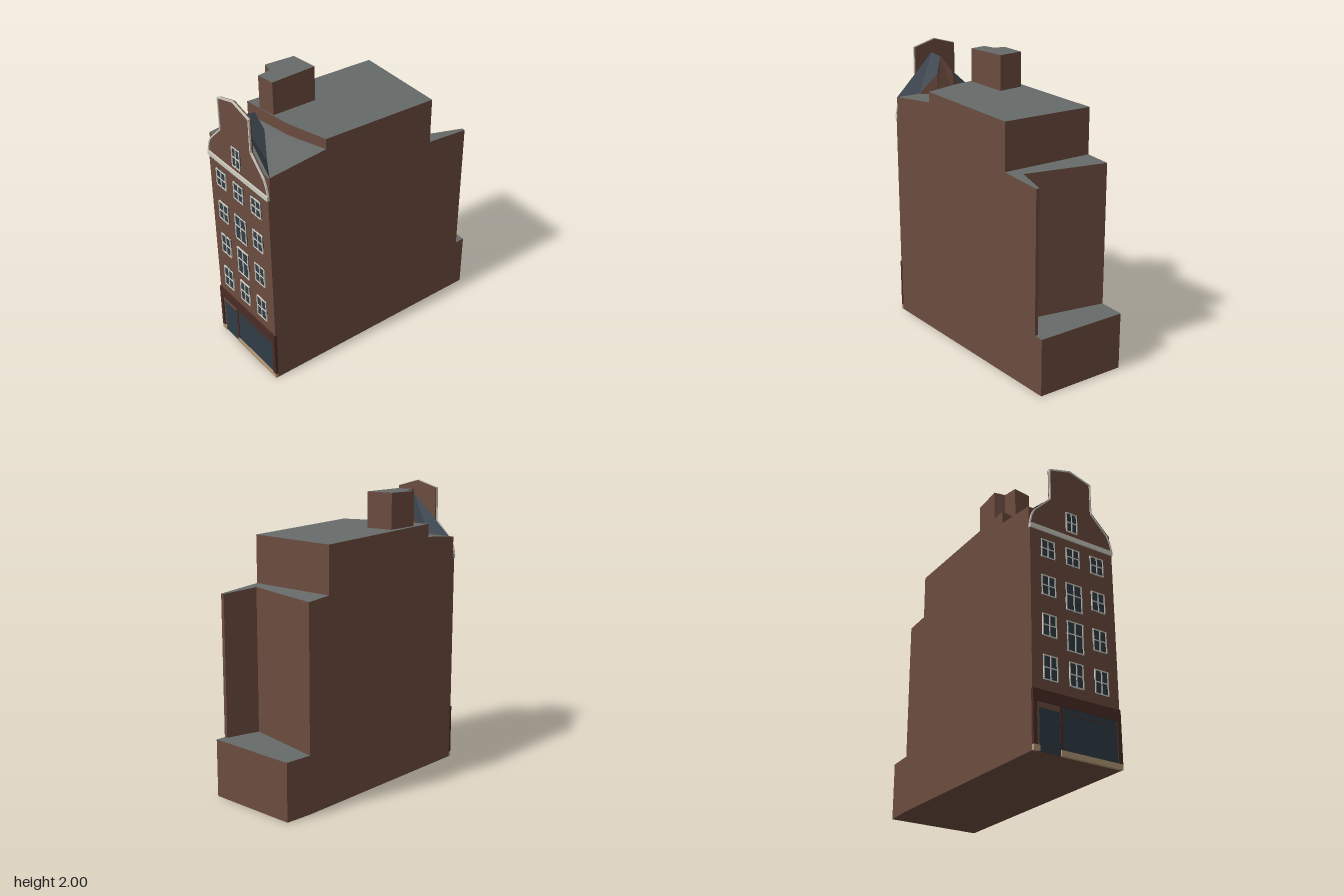
import * as THREE from 'three';

const mat = (color, side = THREE.FrontSide) =>
  new THREE.MeshStandardMaterial({ color, side, flatShading: true });
const brick = mat(0x6b4c3f);
const brickThin = mat(0x6b4c3f, THREE.DoubleSide);
const roofGrey = mat(0x666a68);
const slate = mat(0x424a55, THREE.DoubleSide);
const glass = mat(0x2f3c46);
const white = mat(0xcfccc0);
const shopWood = mat(0x4a2c24);
const stone = mat(0xb59a78);

const FRONT = 0.83; // face of the facade slab

export function createModel() {
  const model = new THREE.Group();

  const add = (name, geometry, material, parent = model) => {
    const mesh = new THREE.Mesh(geometry, material);
    mesh.name = name;
    parent.add(mesh);
    return mesh;
  };

  // Box given by its limits
  const box = (name, x0, x1, y0, y1, z0, z1, material, parent) => {
    const g = new THREE.BoxGeometry(x1 - x0, y1 - y0, z1 - z0);
    g.translate((x0 + x1) / 2, (y0 + y1) / 2, (z0 + z1) / 2);
    return add(name, g, material, parent);
  };

  // Upright block on a plan of [x, z] corners, its top following roofY(x, z)
  const block = (name, plan, y0, roofY, top = roofGrey) => {
    const shape = new THREE.Shape(plan.map(([x, z]) => new THREE.Vector2(x, -z)));
    const g = new THREE.ExtrudeGeometry(shape, { depth: 1, bevelEnabled: false });
    g.rotateX(-Math.PI / 2);
    const p = g.attributes.position;
    for (let i = 0; i < p.count; i++) {
      p.setY(i, p.getY(i) > 0.5 ? roofY(p.getX(i), p.getZ(i)) : y0);
    }
    g.computeVertexNormals();
    return add(name, g, [top, brick]);
  };

  // Flat polygon as a fan
  const polygon = (name, points, material) => {
    const pos = [];
    for (let i = 1; i < points.length - 1; i++) pos.push(...points[0], ...points[i], ...points[i + 1]);
    const g = new THREE.BufferGeometry();
    g.setAttribute('position', new THREE.Float32BufferAttribute(pos, 3));
    g.computeVertexNormals();
    return add(name, g, material);
  };

  // Main volumes: stepped down towards the back
  const step = [[0.32, 0.4], [0.04, 0.48], [-0.1, 0.497], [-0.335, 0.525]];
  const backLine = [[-0.335, -0.47], [0.33, -0.447]];
  const footprint = [[-0.335, 0.815], [0.315, 0.815], [0.32, 0.4], [0.33, -0.447],
    [0.335, -0.83], [-0.32, -0.84], [-0.335, -0.65]];
  block('floor', footprint, 0, () => 0.004, brick);
  block('groundStorey', footprint, 0.004, () => 0.392);
  block('frontVolume', [[-0.335, 0.815], [0.315, 0.815], ...step], 0.392,
    (x, z) => 1.66 - 0.095 * (z - 0.4));
  block('tallVolume', [...step, ...backLine], 0.392, (x, z) => 1.717 + 0.037 * z);
  block('rearVolume', [...backLine, [0.334, -0.76], [0.31, -0.76], [0.25, -0.53], [-0.335, -0.65]],
    0.392, (x, z) => 1.383 + 0.087 * (z + 0.447) - 0.01 * x);

  // Roof box with a notched corner
  block('chimneyBlock', [[-0.29, 0.185], [-0.1, 0.165], [-0.095, 0.49], [-0.22, 0.508],
    [-0.235, 0.41], [-0.31, 0.395]], 1.62, () => 1.965);

  // Small pitched roof behind the gable
  const ridgeFront = [0.02, 1.905, 0.812], ridgeBack = [0.02, 1.89, 0.7];
  const hips = [
    { side: 'left', peak: [0.07, 1.78, 0.67], eave: [0.18, 1.64, 0.735], corner: [0.315, 1.62, 0.812] },
    { side: 'right', peak: [-0.05, 1.78, 0.655], eave: [-0.175, 1.64, 0.735], corner: [-0.3, 1.62, 0.812] },
  ];
  for (const { side, peak, eave, corner } of hips) {
    polygon(side + 'AtticSlope', [ridgeFront, ridgeBack, peak, eave, corner], slate);
    polygon(side + 'AtticWall', [peak, eave, [peak[0], 1.63, peak[2]]], brickThin);
  }
  const [a, b] = hips.map((h) => h.peak);
  polygon('atticBackWall', [ridgeBack, a, [a[0], 1.63, a[2]], [b[0], 1.63, b[2]], b], brickThin);

  // Facade slab with the curved neck gable
  const half = [[0.325, 1.5], [0.312, 1.555], [0.29, 1.6], [0.255, 1.635], [0.164, 1.725], [0.164, 1.95]];
  const cx = -0.01;
  const outline = [
    ...half.map(([x, y]) => new THREE.Vector2(cx + x, y)),
    new THREE.Vector2(cx, 1.995),
    ...half.map(([x, y]) => new THREE.Vector2(cx - x, y)).reverse(),
  ];
  const facade = new THREE.Shape([
    new THREE.Vector2(-0.335, 0), new THREE.Vector2(0.315, 0), ...outline]);
  const slab = new THREE.ExtrudeGeometry(facade, { depth: FRONT - 0.812, bevelEnabled: false });
  slab.translate(0, 0, 0.812);
  add('facade', slab, brick);

  // White edging along the gable and the cornice below it
  const edging = new THREE.Group();
  edging.name = 'gableEdging';
  model.add(edging);
  for (let i = 0; i < outline.length - 1; i++) {
    const p = outline[i], q = outline[i + 1];
    const strip = add('edgingStrip', new THREE.BoxGeometry(p.distanceTo(q) + 0.005, 0.009, 0.012), white, edging);
    strip.position.set((p.x + q.x) / 2, (p.y + q.y) / 2, FRONT);
    strip.rotation.z = Math.atan2(q.y - p.y, q.x - p.x);
  }
  box('cornice', -0.337, 0.317, 1.463, 1.495, 0.82, 0.84, white);

  // Windows: glass, frame, one mullion and one transom
  const addWindow = (x, w, y0, y1, split = 0.5) => {
    const g = new THREE.Group();
    g.name = 'window';
    model.add(g);
    const t = 0.007, l = x - w / 2, r = x + w / 2, mid = y1 - (y1 - y0) * split;
    box('pane', l, r, y0, y1, FRONT - 0.005, FRONT + 0.004, glass, g);
    for (const c of [l + t / 2, x, r - t / 2]) {
      box('uprightBar', c - t / 2, c + t / 2, y0, y1, FRONT, 0.839, white, g);
    }
    for (const c of [y0 + t / 2, mid, y1 - t / 2]) {
      box('crossBar', l, r, c - t / 2, c + t / 2, FRONT, 0.8385, white, g);
    }
  };
  // Each row: bottom, top, bottom of the middle window
  const rows = [[0.45, 0.613, 0.45], [0.737, 0.887, 0.68], [1.012, 1.152, 0.96], [1.278, 1.405, 1.278]];
  for (const [y0, y1, yMid] of rows) {
    const tall = yMid < y0;
    for (const x of [-0.203, 0.182]) addWindow(x, 0.106, y0, y1);
    addWindow(cx, tall ? 0.124 : 0.106, yMid, y1, tall ? 0.42 : 0.5);
  }
  addWindow(cx, 0.088, 1.526, 1.67);

  // Shopfront: dark surround, stone plinth, door and display window
  box('shopFascia', -0.336, 0.316, 0.305, 0.38, 0.82, 0.84, shopWood);
  box('shopRightPost', -0.336, -0.31, 0.035, 0.305, 0.82, 0.84, shopWood);
  box('shopLeftPost', 0.285, 0.316, 0.035, 0.305, 0.82, 0.84, shopWood);
  box('shopMiddlePost', -0.142, -0.126, 0.035, 0.305, 0.82, 0.837, shopWood);
  box('plinthRight', -0.336, -0.291, 0, 0.035, 0.82, 0.84, stone);
  box('plinthLeft', -0.14, 0.316, 0, 0.035, 0.82, 0.84, stone);
  box('doorFrame', -0.31, -0.142, 0.265, 0.305, 0.82, 0.833, brick);
  box('door', -0.291, -0.141, 0, 0.267, 0.82, 0.834, glass);
  box('displayWindow', -0.126, 0.285, 0.035, 0.305, 0.82, 0.833, glass);
  box('displayTransom', -0.126, 0.285, 0.262, 0.267, 0.82, 0.835, shopWood);

  return model;
}
